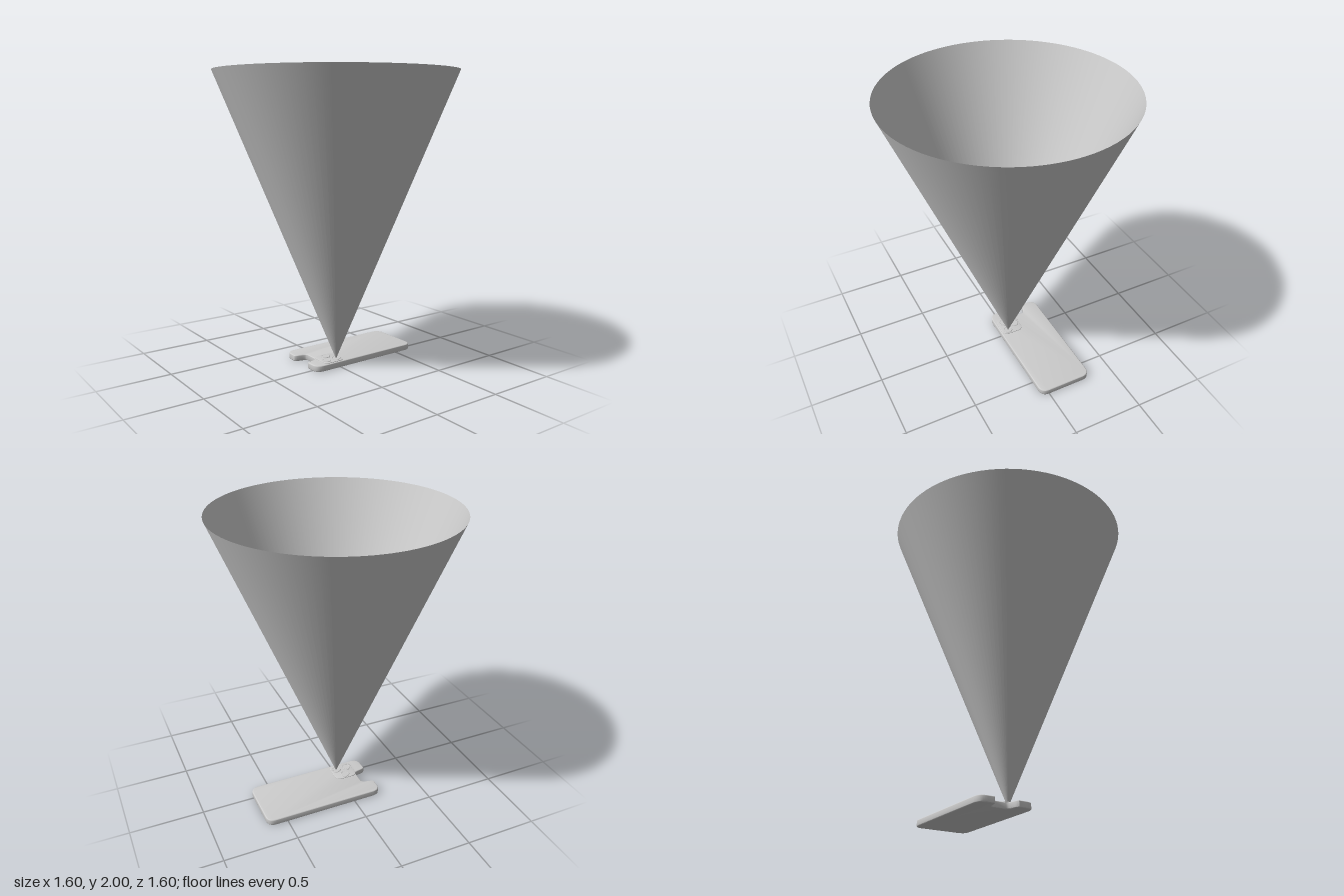
import * as THREE from 'three';
import { toCreasedNormals } from 'three/addons/utils/BufferGeometryUtils.js';

const material = new THREE.MeshStandardMaterial({ color: 0xcccccc });
const openMaterial = new THREE.MeshStandardMaterial({ color: 0xcccccc, side: THREE.DoubleSide });

function add(parent, name, geometry, x = 0, y = 0, z = 0, mat = material) {
  const mesh = new THREE.Mesh(geometry, mat);
  mesh.name = name;
  mesh.position.set(x, y, z);
  parent.add(mesh);
  return mesh;
}

// Plate lying flat: shape y becomes -z, base on y = 0, bevel kept inside the outline
function plate(shape, height, bevel) {
  const geometry = new THREE.ExtrudeGeometry(shape, {
    depth: height - 2 * bevel, bevelThickness: bevel, bevelSize: bevel,
    bevelOffset: -bevel, bevelSegments: 3, curveSegments: 8,
  });
  geometry.translate(0, 0, bevel).rotateX(-Math.PI / 2);
  return toCreasedNormals(geometry, 0.6);
}

function roundedSquare(size, r) {
  const h = size / 2, s = new THREE.Shape();
  [[1, 1, 0], [-1, 1, 1], [-1, -1, 2], [1, -1, 3]].forEach(([sx, sy, q]) =>
    s.absarc(sx * (h - r), sy * (h - r), r, q * Math.PI / 2, (q + 1) * Math.PI / 2, false));
  return s;
}

// Phone outline with a curved notch in its front end
function phoneOutline() {
  const l = -0.325, r = 0.06, front = -0.2, back = 0.64, c = 0.06;
  const s = new THREE.Shape();
  s.moveTo(r, front + c);
  s.lineTo(r, back - c);
  s.quadraticCurveTo(r, back, r - c, back);
  s.lineTo(l + c, back);
  s.quadraticCurveTo(l, back, l, back - c);
  s.lineTo(l, front + c);
  s.quadraticCurveTo(l, front, l + c, front);
  s.lineTo(-0.22, front);
  s.bezierCurveTo(-0.2, -0.19, -0.21, -0.12, -0.18, -0.115);
  s.lineTo(-0.09, -0.115);
  s.bezierCurveTo(-0.06, -0.12, -0.07, -0.19, -0.05, front);
  s.lineTo(r - c, front);
  s.quadraticCurveTo(r, front, r, front + c);
  return s;
}

export function createModel() {
  const model = new THREE.Group();
  model.name = 'phoneWithViewCone';

  const phone = new THREE.Group();
  phone.name = 'phone';
  model.add(phone);
  add(phone, 'phoneBody', plate(phoneOutline(), 0.043, 0.006));

  // Camera block with three ringed lenses
  const camera = new THREE.Group();
  camera.name = 'cameraBlock';
  phone.add(camera);
  add(camera, 'cameraPlate', plate(roundedSquare(0.16, 0.04), 0.007, 0.002), -0.03, 0.04, 0.04);
  const ring = new THREE.TorusGeometry(0.028, 0.004, 8, 28).rotateX(Math.PI / 2);
  const glass = new THREE.CylinderGeometry(0.027, 0.027, 0.004, 28);
  [[0, 0], [0, 0.08], [-0.07, 0.04]].forEach(([x, z]) => {
    add(camera, 'lensRing', ring, x, 0.047, z);
    add(camera, 'lensGlass', glass, x, 0.047, z);
  });

  // Open view cone rising from the camera
  const cone = new THREE.CylinderGeometry(0.8, 0.001, 1.955, 96, 1, true);
  add(model, 'viewCone', cone, 0, 0.045 + 1.955 / 2, 0, openMaterial);

  return model;
}
